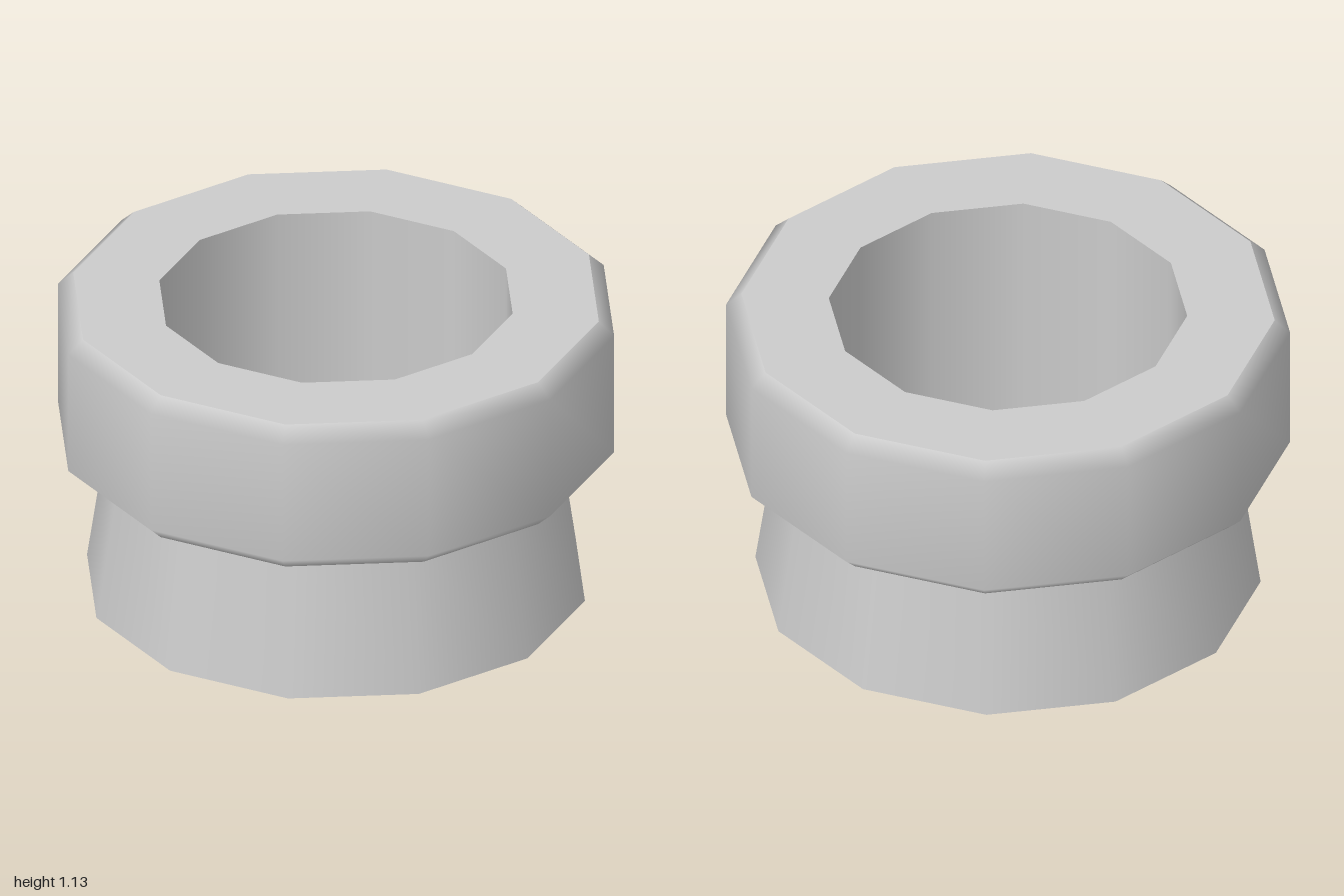
import * as THREE from 'three';

const SIDES = 12;
const BORE = 0.635, TOP = 1.133, LEDGE = 0.56;
const FOOT = 0.895, NECK = 0.813, RIM = 0.945;

export function createModel() {
  const group = new THREE.Group();
  const material = new THREE.MeshStandardMaterial({ color: 0xcccccc });

  // Each band is smooth in itself; separate bands keep the edges between them sharp
  function band(name, profile) {
    const points = profile.map(([r, y]) => new THREE.Vector2(r, y));
    const mesh = new THREE.Mesh(new THREE.LatheGeometry(points, SIDES), material);
    mesh.name = name;
    group.add(mesh);
  }

  // Tapered neck standing on a flat ring
  band('bottomRing', [[BORE, 0], [FOOT, 0]]);
  band('neck', [[FOOT, 0], [NECK, LEDGE]]);

  // Wide collar with chamfered upper and lower edges
  band('collarUnderside', [[NECK, LEDGE], [RIM, LEDGE]]);
  band('collar', [[RIM, LEDGE], [1, LEDGE + 0.052], [1, TOP - 0.052], [RIM, TOP]]);
  band('topRing', [[RIM, TOP], [BORE, TOP]]);

  // Straight hole through the whole piece
  band('bore', [[BORE, TOP], [BORE, 0]]);

  return group;
}
